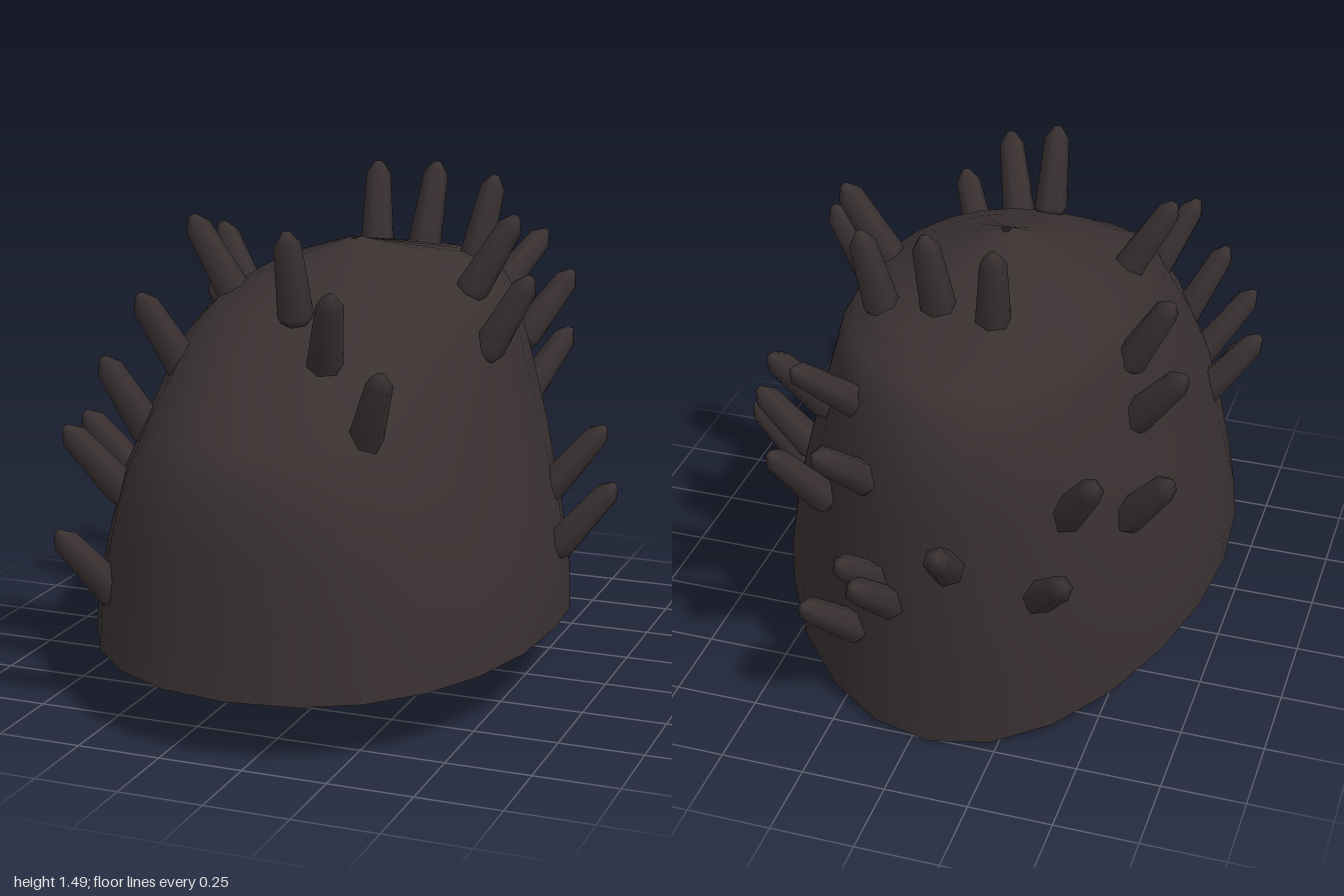
import * as THREE from 'three';

const SEGMENTS = 24;
const CENTRE_X = -0.053;

// Dome rings: half width, front z, back z, then height at front, sides and back
const RINGS = [
  [0.68, 0.995, -0.76, 0.19, 0.205, 0],
  [0.67, 0.985, -0.78, 0.4, 0.33, 0.25],
  [0.63, 0.975, -0.8, 0.58, 0.49, 0.5],
  [0.575, 0.96, -0.81, 0.75, 0.68, 0.78],
  [0.515, 0.89, -0.81, 0.86, 0.86, 0.95],
  [0.445, 0.72, -0.77, 1.01, 1.08, 1.1],
  [0.4, 0.5, -0.7, 1.13, 1.15, 1.17],
  [0.29, 0.3, -0.58, 1.21, 1.22, 1.21],
  [0.015, 0.02, -0.015, 1.31, 1.315, 1.31],
];

// Spike groups: outward lean for each unit of rise, and the tips
const SPIKE_GROUPS = [
  { name: 'crownSpikes', lean: 0.26, tips: [
    [-0.155, 1.48, -0.46], [0.05, 1.49, -0.44], [0.25, 1.46, -0.41], [-0.055, 1.41, 0.53],
  ] },
  { name: 'shoulderSpikes', lean: 0.58, tips: [
    [0.155, 1.28, 0.72], [0.33, 1.09, 0.79], [0.44, 1.4, -0.03], [0.53, 1.25, 0.11],
    [-0.51, 1.38, 0.18], [-0.61, 1.29, -0.25], [-0.5, 1.21, 0.56], [-0.59, 1.03, 0.62],
  ] },
  { name: 'sideSpikes', lean: 0.83, tips: [
    [0.68, 0.75, -0.19], [0.75, 0.61, -0.06], [0.45, 1.14, -0.61], [0.4, 0.92, -0.77],
    [-0.67, 1.1, -0.31], [-0.68, 0.85, -0.47], [-0.52, 0.95, -0.7],
    [-0.67, 0.84, 0.71], [-0.63, 0.57, 0.85], [-0.74, 0.82, 0.46],
  ] },
  { name: 'backSpikes', lean: 1.15, tips: [
    [-0.47, 0.69, -0.82], [-0.16, 0.83, -0.99], [0.3, 1.23, -0.81], [0.2, 1.05, -0.93],
    [0.15, 0.7, -0.92], [0.1, 0.65, -0.95], [0.28, 0.5, -0.88],
  ] },
];

// Open shell lofted through the rings, leaving a tiny hole at the apex
function domeGeometry() {
  const positions = [];
  const index = [];
  const bulge = (v, power) => Math.sign(v) * Math.abs(v) ** power;
  RINGS.forEach(([w, zf, zb, yf, ys, yb], r) => {
    for (let i = 0; i < SEGMENTS; i++) {
      const a = (i / SEGMENTS) * Math.PI * 2;
      const c = Math.cos(a);
      const s = Math.sin(a);
      const power = c > 0 ? 0.9 : 1; // the front is a little fuller
      positions.push(
        CENTRE_X + w * bulge(s, power),
        ys + ((c > 0 ? yf : yb) - ys) * c * c,
        (zf + zb) / 2 + ((zf - zb) / 2) * bulge(c, power),
      );
      if (r === RINGS.length - 1) continue;
      const p = r * SEGMENTS + i;
      const q = r * SEGMENTS + ((i + 1) % SEGMENTS);
      index.push(p, q, q + SEGMENTS, p, q + SEGMENTS, p + SEGMENTS);
    }
  });
  const geometry = new THREE.BufferGeometry();
  geometry.setAttribute('position', new THREE.Float32BufferAttribute(positions, 3));
  geometry.setIndex(index);
  geometry.computeVertexNormals();
  return geometry;
}

// Six-sided tapered spike with a blunt point; its tip is at the origin
function spikeGeometry() {
  const profile = [
    [0, -0.28], [0.042, -0.28], [0.052, -0.255], [0.039, -0.04], [0.012, -0.003], [0, 0],
  ].map(([x, y]) => new THREE.Vector2(x, y));
  return new THREE.LatheGeometry(profile, 6);
}

export function createModel() {
  const model = new THREE.Group();
  model.name = 'spikedShell';
  const darkBrown = new THREE.MeshStandardMaterial({ color: 0x3a3131, side: THREE.DoubleSide });
  darkBrown.name = 'darkBrown';

  const shell = new THREE.Mesh(domeGeometry(), darkBrown);
  shell.name = 'shell';
  model.add(shell);

  // Spikes lean outwards along the normal of the oval plan
  const geometry = spikeGeometry();
  const up = new THREE.Vector3(0, 1, 0);
  for (const { name, lean, tips } of SPIKE_GROUPS) {
    const group = new THREE.Group();
    group.name = name;
    for (const [x, y, z] of tips) {
      const spike = new THREE.Mesh(geometry, darkBrown);
      spike.name = 'spike';
      spike.position.set(x, y, z);
      const axis = new THREE.Vector3((x - CENTRE_X) / 0.46, 0, (z - 0.1) / 0.77);
      axis.setLength(lean).add(up).normalize();
      spike.quaternion.setFromUnitVectors(up, axis);
      group.add(spike);
    }
    model.add(group);
  }
  return model;
}
